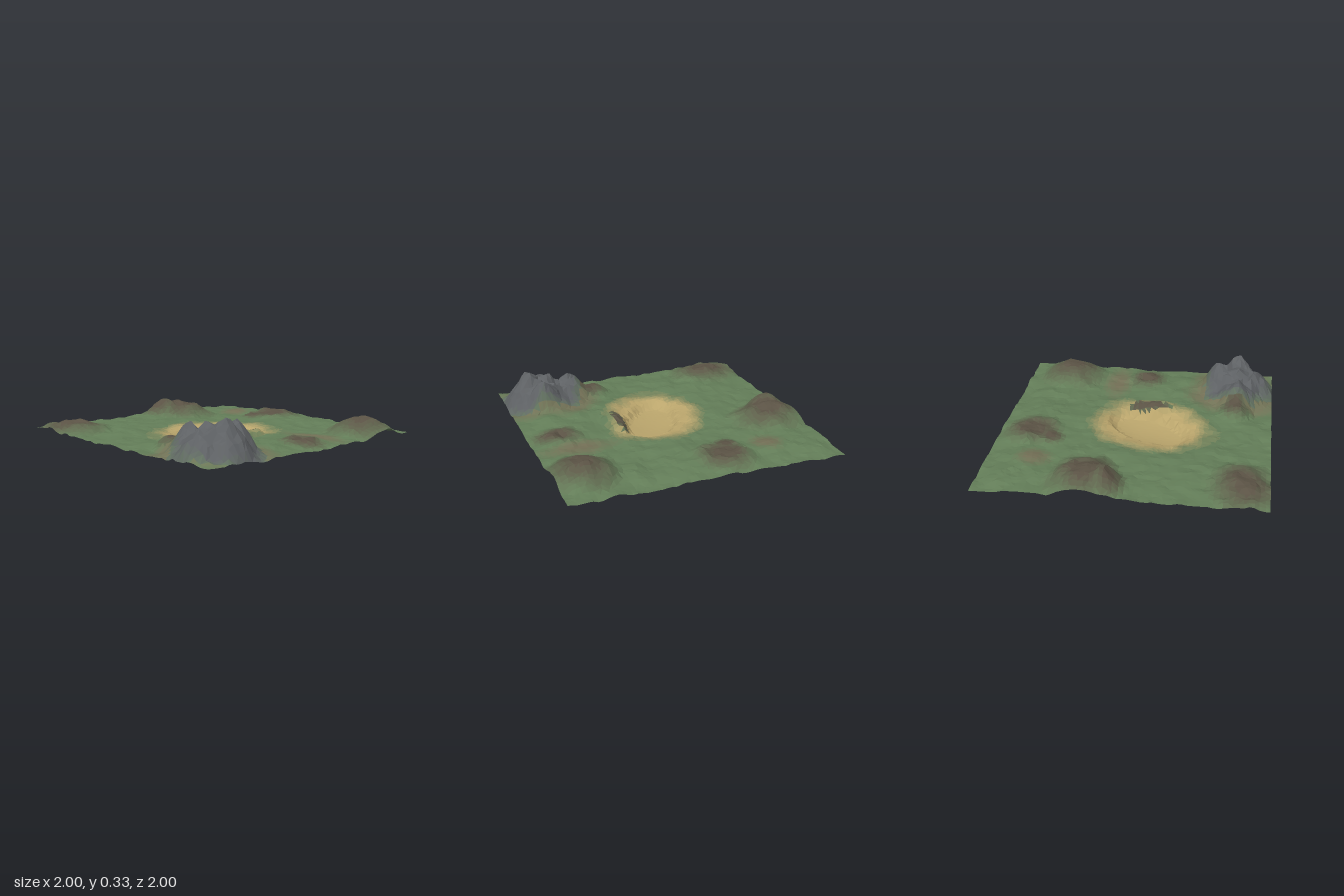
import * as THREE from 'three';

const N = 60; // grid cells per side
const smooth = THREE.MathUtils.smoothstep;

// Repeatable hash and value noise
function hash(i, j) {
  const s = Math.sin(i * 127.1 + j * 311.7) * 43758.5453;
  return s - Math.floor(s);
}
function noise(x, z) {
  const i = Math.floor(x), j = Math.floor(z);
  const u = smooth(x - i, 0, 1), v = smooth(z - j, 0, 1);
  const a = hash(i, j) + (hash(i + 1, j) - hash(i, j)) * u;
  const b = hash(i, j + 1) + (hash(i + 1, j + 1) - hash(i, j + 1)) * u;
  return (a + (b - a) * v) * 2 - 1;
}

// Elliptical distance, optionally sheared: 0 at the centre, 1 on the outline
const reach = (x, z, cx, cz, rx, rz, shear = 0) => Math.hypot((x - cx) / rx, (z - cz - shear * (x - cx)) / rz);

// Rounded brown hills: centre x, z, radius x, z, height, roughness
const hills = [
  [0.26, -0.79, 0.26, 0.32, 0.115, 0.015],
  [0.08, -0.86, 0.13, 0.17, 0.06, 0.015],
  [-0.82, -0.74, 0.25, 0.33, 0.055, 0.015],
  [0.76, -0.2, 0.24, 0.22, 0.045, 0.02],
  [0.6, -0.27, 0.1, 0.11, 0.025, 0.015],
  [0.64, 0.8, 0.28, 0.27, 0.09, 0.01],
  [0.02, 0.8, 0.17, 0.21, 0.025, 0.02],
  [-0.71, 0.33, 0.15, 0.18, 0.085, 0.02],
];
// Sharp summits of the grey mountain: x, z, radius, height
const peaks = [
  [-0.71, 0.84, 0.18, 0.165], [-0.55, 0.74, 0.15, 0.15],
  [-0.87, 0.74, 0.15, 0.115], [-0.73, 0.5, 0.15, 0.12],
  [-0.73, 0.66, 0.2, 0.085],
];

function height(x, z) {
  let y = 0.092 + 0.012 * noise(x * 3 + 9, z * 3 + 4) + 0.012 * noise(x * 7, z * 9) + 0.007 * noise(x * 17, z * 19);
  // Outer edges sink slightly, apart from a swell at the front right
  const edge = Math.max(Math.abs(x), Math.abs(z));
  y -= 0.02 * smooth(edge, 0.75, 1);
  y += 0.035 * Math.max(0, 1 - reach(x, z, 0.74, 1, 0.28, 0.25));
  for (const [cx, cz, rx, rz, h, rough] of hills) {
    const d = Math.min(1, reach(x, z, cx, cz, rx, rz));
    const f = (1 - d * d) ** 1.3;
    y += f * h + rough * Math.sqrt(f) * noise(x * 17 + 2, z * 17);
  }
  // Mountain body and summits
  const d = Math.min(1, reach(x, z, -0.72, 0.7, 0.32, 0.36));
  const body = (1 - d * d) ** 1.3;
  let top = 0;
  for (const [cx, cz, r, h] of peaks) top = Math.max(top, h * (1 - Math.hypot(x - cx, z - cz) / r));
  y += 0.105 * body + top * Math.min(1, body * 3) + 0.03 * Math.sqrt(body) * noise(x * 19, z * 19);
  // Crater: gentle sandy slope, steep wall and shallow bowl floor
  const slope = 1 - smooth(reach(x, z, -0.09, 0.01, 0.46, 0.35, 0.15), 0.6, 1);
  y += (0.066 + 0.005 * noise(x * 9, z * 9) - y) * slope;
  const c = reach(x, z, -0.08, 0.03, 0.285, 0.195, 0.35) + 0.06 * noise(x * 7, z * 7);
  const floor = 0.003 + 0.021 * Math.min(1, c) ** 2;
  y += (floor - y) * (1 - smooth(c, 0.88, 1.18));
  // Broken stone bank rising on the front side of the crater
  const b = Math.min(1, reach(x, z, -0.07, 0.31, 0.18, 0.09));
  y += Math.sqrt(1 - b * b) * (0.042 + 0.012 * noise(x * 23, z * 23));
  return y;
}

const grass = new THREE.Color(0x637d58);
const tints = {
  sand: new THREE.Color(0xbaa56c),
  brownRock: new THREE.Color(0x5b5345),
  greyRock: new THREE.Color(0x5e6164),
  dirt: new THREE.Color(0x786b55),
};

// Ground cover at a point: name and strength from 0 to 1
function cover(x, z) {
  const wob = 0.12 * noise(x * 8 + 3, z * 8);
  const fade = (cx, cz, rx, rz, inner, shear) => 1 - smooth(reach(x, z, cx, cz, rx, rz, shear) + wob, inner, 1.1);
  const grey = fade(-0.72, 0.71, 0.3, 0.36, 0.7);
  if (grey > 0.4) return ['greyRock', grey];
  const bank = fade(-0.06, 0.29, 0.18, 0.05, 0.6);
  if (bank > 0.3) return ['brownRock', bank];
  const list = [
    ['sand', fade(-0.09, 0.01, 0.48, 0.37, 0.65, 0.15)],
    ['dirt', 0.7 * Math.max(fade(0.67, -0.57, 0.15, 0.14, 0.3), fade(0.25, 0.72, 0.13, 0.36, 0.2), fade(-0.7, 0.66, 0.4, 0.46, 0.6))],
  ];
  for (const [cx, cz, rx, rz] of hills) list.push(['brownRock', 0.95 * fade(cx, cz, rx, rz, 0.3)]);
  return list.reduce((a, b) => (b[1] > a[1] ? b : a));
}

export function createModel() {
  const group = new THREE.Group();
  group.name = 'terrain';

  // Slightly irregular grid of ground points with straight borders
  const pts = [];
  for (let j = 0; j <= N; j++) {
    for (let i = 0; i <= N; i++) {
      const inside = i > 0 && j > 0 && i < N && j < N ? 0.5 : 0;
      const x = ((i + inside * (hash(i, j) - 0.5)) / N) * 2 - 1;
      const z = ((j + inside * (hash(j + 50, i) - 0.5)) / N) * 2 - 1;
      pts.push(new THREE.Vector3(x, height(x, z), z));
    }
  }
  // Rest the crater floor on the ground plane
  const low = Math.min(...pts.map((p) => p.y));
  for (const p of pts) p.y -= low;

  // Sort the triangles by ground cover and blend step
  const STEPS = 8;
  const buckets = new Map();
  const addFace = (a, b, c) => {
    const [name, w] = cover((a.x + b.x + c.x) / 3, (a.z + b.z + c.z) / 3);
    const step = Math.round(w * STEPS);
    const key = step ? `${name}${step}` : 'grass';
    if (!buckets.has(key)) {
      const color = step ? grass.clone().lerp(tints[name], step / STEPS) : grass.clone();
      buckets.set(key, { color, faces: [] });
    }
    buckets.get(key).faces.push(a, b, c);
  };
  for (let j = 0; j < N; j++) {
    for (let i = 0; i < N; i++) {
      const k = j * (N + 1) + i;
      const [a, b, c, d] = [pts[k], pts[k + 1], pts[k + N + 1], pts[k + N + 2]];
      if (hash(i + 7, j + 3) > 0.5) {
        addFace(a, c, b);
        addFace(b, c, d);
      } else {
        addFace(a, c, d);
        addFace(a, d, b);
      }
    }
  }

  // One faceted open sheet per ground tint
  for (const [name, { color, faces }] of buckets) {
    const geometry = new THREE.BufferGeometry().setFromPoints(faces);
    geometry.computeVertexNormals();
    const material = new THREE.MeshStandardMaterial({ color, flatShading: true, side: THREE.DoubleSide });
    const mesh = new THREE.Mesh(geometry, material);
    mesh.name = name;
    group.add(mesh);
  }
  return group;
}
